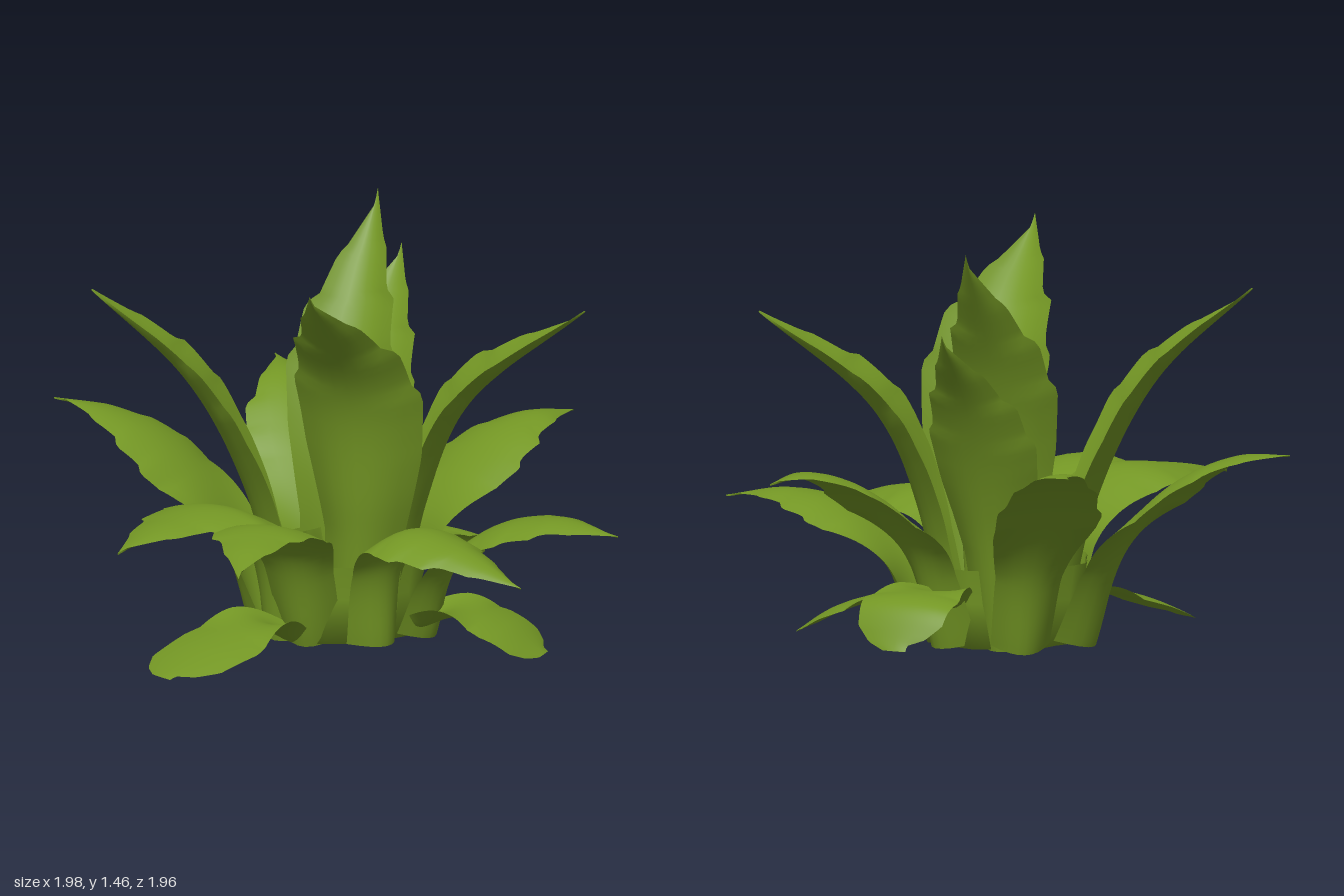
import * as THREE from 'three';

// Half-width along a leaf as [position, width] pairs
const SERRATED = [[0, 0.55], [0.25, 0.62], [0.45, 0.9], [0.6, 1], [0.63, 0.86], [0.73, 0.8], [0.755, 0.6], [0.86, 0.42], [0.88, 0.32], [1, 0]];
const ROUNDED = [[0, 0.3], [0.3, 0.75], [0.6, 1], [0.85, 0.9], [0.95, 0.6], [1, 0.25]];

function widthAt(profile, t) {
  for (let i = 1; i < profile.length; i++) {
    const [t0, w0] = profile[i - 1], [t1, w1] = profile[i];
    if (t <= t1) return w0 + (w1 - w0) * (t - t0) / (t1 - t0);
  }
  return profile[profile.length - 1][1];
}

// Lens-shaped blade swept along a spine; cup lifts (+) or droops (-) its edges
function leafGeometry(points, halfWidth, cup, profile) {
  const spine = new THREE.CatmullRomCurve3(points.map(p => new THREE.Vector3(...p)));
  const first = points[0], tip = points[points.length - 1];
  const outward = new THREE.Vector3(tip[0] - first[0], 0, tip[2] - first[2]).normalize();
  const side = new THREE.Vector3().crossVectors(outward, new THREE.Vector3(0, 1, 0));
  const rows = 48, cols = 8, thickness = 0.03;
  const positions = [], indices = [];
  for (const layer of [0, 1]) {
    const start = positions.length / 3;
    for (let i = 0; i <= rows; i++) {
      const t = i / rows;
      const centre = spine.getPointAt(t);
      const normal = new THREE.Vector3().crossVectors(side, spine.getTangentAt(t)).normalize();
      const bend = THREE.MathUtils.lerp(0.55, cup, Math.min(1, t * 2));
      for (let j = 0; j <= cols; j++) {
        const u = j / cols * 2 - 1;
        const w = halfWidth * widthAt(profile, Math.min(1, u < 0 ? t + 0.04 * t : t));
        const lift = bend * u * u * w - layer * thickness * (1 - u * u) * (1 - t * 0.8);
        const p = centre.clone().addScaledVector(side, u * w).addScaledVector(normal, lift);
        positions.push(p.x, p.y, p.z);
      }
    }
    for (let i = 0; i < rows; i++) {
      for (let j = 0; j < cols; j++) {
        const a = start + i * (cols + 1) + j, b = a + 1, c = a + cols + 1, d = c + 1;
        if (layer === 0) indices.push(a, b, c, b, d, c);
        else indices.push(a, c, b, b, c, d);
      }
    }
  }
  const geometry = new THREE.BufferGeometry();
  geometry.setAttribute('position', new THREE.Float32BufferAttribute(positions, 3));
  geometry.setIndex(indices);
  geometry.computeVertexNormals();
  return geometry;
}

// Spine points from root to tip, then half-width and cup
const UPRIGHT = [
  [[[-0.02, 0.04, 0.24], [-0.03, 0.5, 0.31], [-0.1, 0.98, 0.39], [-0.37, 1.41, 0.68]], 0.23, 0.4],
  [[[0.05, 0.04, -0.1], [0.07, 0.6, -0.08], [0.14, 1.0, -0.18], [0.34, 1.47, -0.41]], 0.2, 0.4],
  [[[-0.16, 0.04, -0.02], [-0.29, 0.55, -0.05], [-0.5, 0.95, -0.1], [-0.8, 1.26, -0.25]], 0.22, 0.3],
  [[[0.18, 0.04, 0.12], [0.26, 0.5, 0.17], [0.42, 0.85, 0.2], [0.78, 1.18, 0.4]], 0.24, 0.3],
  [[[0.12, 0.04, -0.2], [0.2, 0.5, -0.27], [0.32, 0.9, -0.4], [0.5, 1.22, -0.58]], 0.2, 0.3],
];
const ARCHING = [
  [[[0.28, 0.04, -0.05], [0.38, 0.4, -0.06], [0.6, 0.62, -0.08], [0.8, 0.69, -0.12], [0.98, 0.67, -0.18]], 0.23, -0.2],
  [[[0.07, 0.04, -0.28], [0.08, 0.35, -0.38], [0.1, 0.6, -0.58], [0.14, 0.74, -0.78], [0.19, 0.76, -0.98]], 0.19, -0.2],
  [[[-0.2, 0.04, -0.2], [-0.28, 0.4, -0.3], [-0.44, 0.63, -0.44], [-0.6, 0.73, -0.58], [-0.74, 0.75, -0.74]], 0.24, -0.2],
  [[[-0.24, 0.04, 0.1], [-0.3, 0.4, 0.16], [-0.5, 0.57, 0.25], [-0.75, 0.56, 0.34], [-1, 0.5, 0.46]], 0.23, -0.2],
  [[[-0.18, 0.04, 0.2], [-0.28, 0.4, 0.3], [-0.46, 0.56, 0.5], [-0.6, 0.55, 0.7], [-0.72, 0.48, 0.88]], 0.2, -0.2],
  [[[0.05, 0.04, 0.32], [0.04, 0.35, 0.36], [0.07, 0.49, 0.5], [0.15, 0.48, 0.72], [0.3, 0.37, 0.98]], 0.2, -0.35],
  [[[0.25, 0.04, 0.25], [0.3, 0.3, 0.32], [0.42, 0.46, 0.46], [0.58, 0.51, 0.63], [0.74, 0.47, 0.8]], 0.21, -0.25],
];
const GROUND = [
  [[[0.25, 0.2, -0.12], [0.42, 0.27, -0.24], [0.55, 0.25, -0.36], [0.62, 0.1, -0.43]], 0.18, -0.1],
  [[[-0.24, 0.08, 0.22], [-0.4, 0.15, 0.28], [-0.6, 0.11, 0.35], [-0.8, 0.02, 0.37]], 0.2, -0.1],
  [[[0.2, 0.1, 0.28], [0.33, 0.15, 0.38], [0.45, 0.11, 0.49], [0.55, 0.02, 0.59]], 0.19, -0.1],
];

export function createModel() {
  const group = new THREE.Group();
  const leafGreen = new THREE.MeshStandardMaterial({ color: 0x739624, side: THREE.DoubleSide });
  leafGreen.name = 'leafGreen';

  const addLeaves = (name, leaves, profile) => leaves.forEach(([points, width, cup], i) => {
    const mesh = new THREE.Mesh(leafGeometry(points, width, cup, profile), leafGreen);
    mesh.name = name + (i + 1);
    group.add(mesh);
  });
  addLeaves('uprightLeaf', UPRIGHT, SERRATED);
  addLeaves('archingLeaf', ARCHING, SERRATED);
  addLeaves('groundLeaf', GROUND, ROUNDED);

  // Hollow crown of packed stems
  const outline = [[0.14, 0.36], [0.12, 0.04], [0.27, 0.04], [0.28, 0.2], [0.3, 0.32]];
  const crown = new THREE.Mesh(new THREE.LatheGeometry(outline.map(p => new THREE.Vector2(...p)), 32), leafGreen);
  crown.name = 'stemCrown';
  crown.position.set(0.02, 0, 0.03);
  // Ripple the outer wall into separate stems
  const pos = crown.geometry.attributes.position;
  for (let i = 0; i < pos.count; i++) {
    const x = pos.getX(i), z = pos.getZ(i);
    const k = 1 + 0.04 * Math.cos(8 * Math.atan2(z, x));
    pos.setX(i, x * k);
    pos.setZ(i, z * k);
  }
  crown.geometry.computeVertexNormals();
  group.add(crown);
  return group;
}
